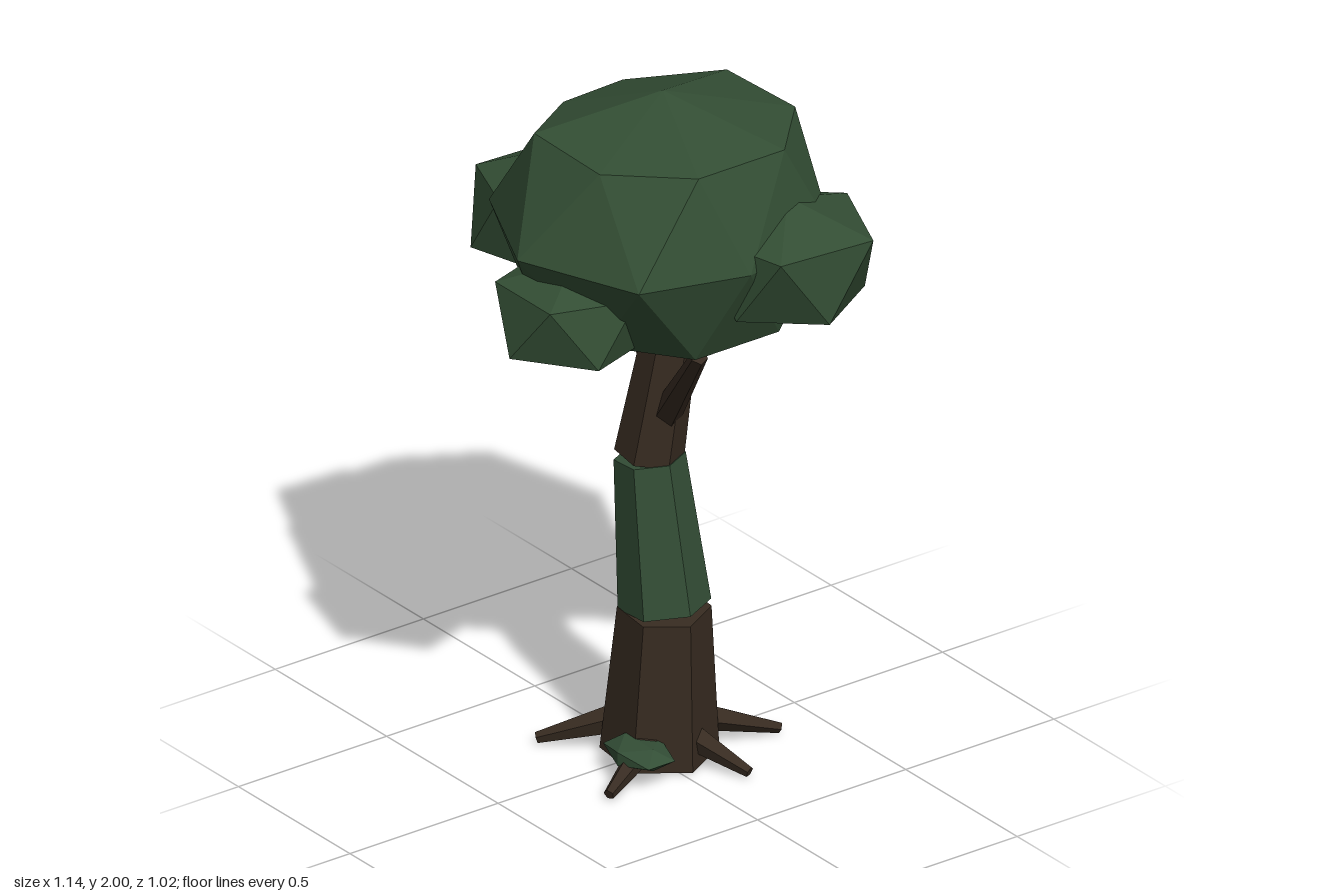
import * as THREE from 'three';
import { ConvexGeometry } from 'three/addons/geometries/ConvexGeometry.js';

const mat = (name, color) => {
  const m = new THREE.MeshStandardMaterial({ color, flatShading: true });
  m.name = name;
  return m;
};
const V = (a) => new THREE.Vector3(...a);

export function createModel() {
  const bark = mat('bark', 0x372b21);
  const moss = mat('moss', 0x334e36);
  const leaf = mat('foliage', 0x334e34);
  const tree = new THREE.Group();
  tree.name = 'tree';

  const add = (name, geometry, material, parent = tree) => {
    const mesh = new THREE.Mesh(geometry, material);
    mesh.name = name;
    parent.add(mesh);
    return mesh;
  };

  // Tapered low-poly limb running from a to b; spin is in degrees
  const limb = (name, a, b, r0, r1, material, sides = 5, spin = 0, parent = tree) => {
    const p = V(a), q = V(b), dir = q.clone().sub(p);
    const g = new THREE.CylinderGeometry(r1, r0, dir.length(), sides);
    g.rotateY(THREE.MathUtils.degToRad(spin));
    const mesh = add(name, g, material, parent);
    mesh.position.copy(p).add(q).multiplyScalar(0.5);
    mesh.quaternion.setFromUnitVectors(new THREE.Vector3(0, 1, 0), dir.normalize());
  };

  // Trunk in three leaning six-sided sections
  limb('lowerTrunk', [0.01, 0.015, -0.037], [0.041, 0.455, -0.03], 0.162, 0.128, bark, 6, 27);
  limb('mossyTrunk', [0.042, 0.463, -0.03], [-0.003, 0.897, -0.014], 0.127, 0.098, moss, 6, 27);
  limb('upperTrunk', [-0.005, 0.905, -0.014], [0.036, 1.245, -0.048], 0.096, 0.078, bark, 6, 27);

  // Branches
  limb('leftBranch', [0.045, 1.03, -0.03], [0.305, 1.34, 0.05], 0.044, 0.024, bark);
  limb('rightBranch', [-0.02, 1.07, -0.05], [-0.268, 1.375, -0.135], 0.044, 0.024, bark);

  // Roots: [start, tip]
  const roots = new THREE.Group();
  roots.name = 'roots';
  tree.add(roots);
  [
    [[0.08, 0.09, 0.05], [0.165, 0.02, 0.25]],
    [[-0.08, 0.09, 0.04], [-0.225, 0.02, 0.2]],
    [[-0.08, 0.09, -0.1], [-0.255, 0.02, -0.21]],
    [[0.05, 0.1, -0.13], [0.12, 0.02, -0.36]],
    [[0.1, 0.09, -0.06], [0.285, 0.02, -0.135]],
  ].forEach(([a, b]) => limb('root', a, b, 0.042, 0.016, bark, 5, 0, roots));

  // Flat moss clump at the foot of the trunk
  const clump = add('mossClump', new THREE.IcosahedronGeometry(1, 0), moss);
  clump.scale.set(0.12, 0.038, 0.085);
  clump.position.set(0.105, 0.08, 0.103);

  // Main crown: tip, three rings of eight [x, z], base
  const upper = [[-0.13, -0.37, 1.905], [0.15, -0.39, 1.9], [0.355, -0.2, 1.91], [0.355, 0.09, 1.91],
    [0.15, 0.27, 1.895], [-0.13, 0.28, 1.91], [-0.28, 0.07, 1.88], [-0.29, -0.14, 1.88]];
  const middle = [[0.02, -0.51], [0.38, -0.34], [0.47, 0], [0.38, 0.31],
    [0.02, 0.45], [-0.32, 0.29], [-0.49, -0.05], [-0.36, -0.42]];
  const crown = [V([0.015, 2, -0.045]), V([0.015, 1.272, -0.04])];
  upper.forEach(([x, z, y]) => crown.push(V([x, y, z]), V([x * 0.95, 3.265 - y, z * 0.97])));
  middle.forEach(([x, z]) => crown.push(V([x, 1.637, z])));
  add('mainCrown', new ConvexGeometry(crown), leaf);

  // Side clumps: two rings of five (upper r0, lower r1) between a tip and a base
  const sideClump = (name, [cx, cy, cz], r0, r1, h, ring, turn) => {
    const pts = [V([cx, cy + h, cz]), V([cx, cy - h, cz])];
    for (let i = 0; i < 10; i++) {
      const a = THREE.MathUtils.degToRad(turn + i * 36);
      const r = i % 2 ? r1 : r0;
      const y = cy + (i % 2 ? -ring : ring);
      pts.push(V([cx + r * Math.cos(a), y, cz + r * Math.sin(a)]));
    }
    add(name, new ConvexGeometry(pts), leaf);
  };
  sideClump('rightClump', [-0.375, 1.525, 0.07], 0.19, 0.2, 0.17, 0.095, 147);
  sideClump('frontClump', [0.07, 1.465, 0.3], 0.21, 0.214, 0.145, 0.085, 54);
  sideClump('leftClump', [0.355, 1.575, -0.21], 0.25, 0.215, 0.19, 0.105, 41);

  return tree;
}
